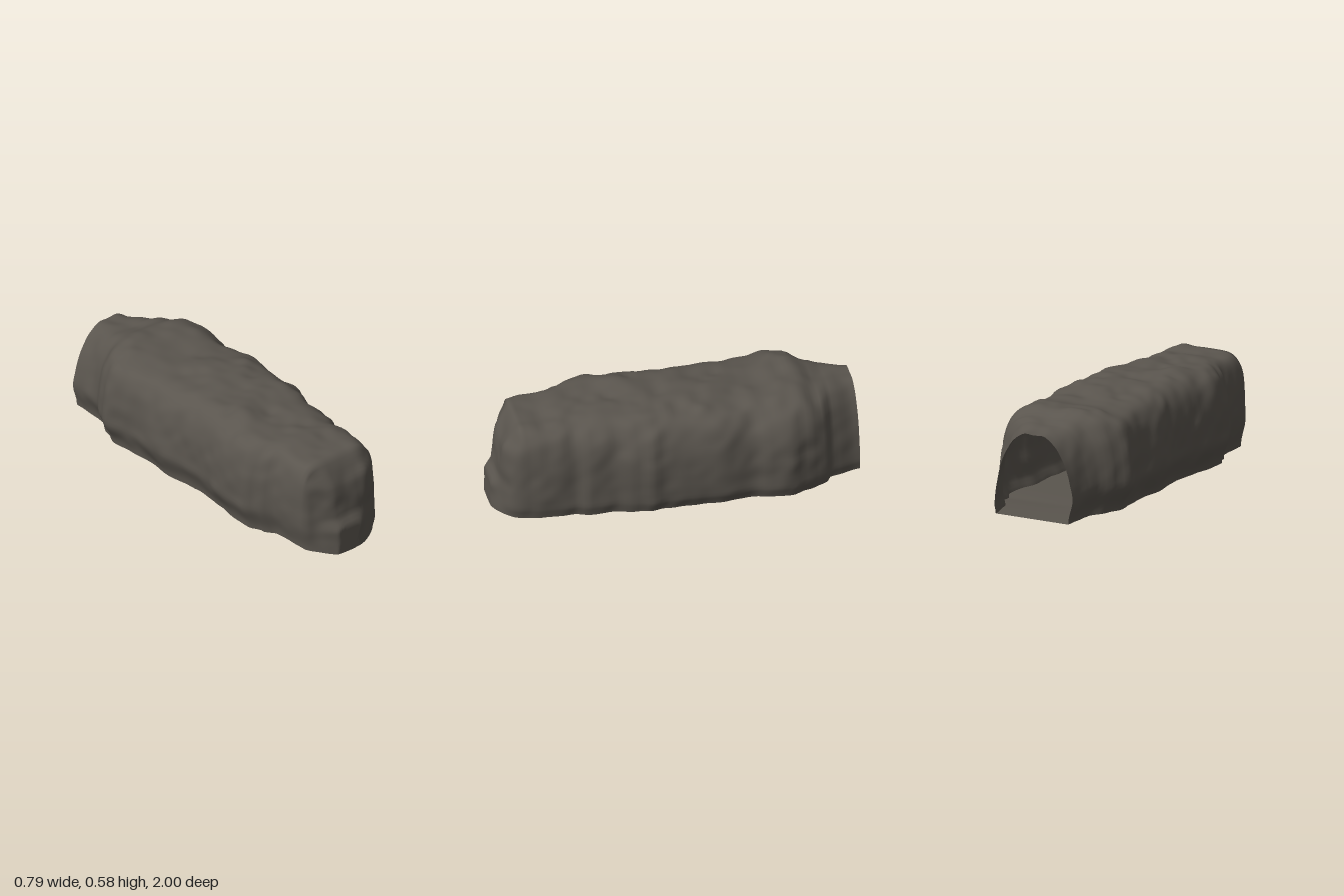
import * as THREE from 'three';

const rock = new THREE.MeshStandardMaterial({ color: 0x5a554e, side: THREE.DoubleSide });
rock.name = 'dark rock';

const step = THREE.MathUtils.smoothstep;

// Smooth interpolation through [position, value...] rows
const rows = (table, t, k) => {
  let i = 0;
  while (i < table.length - 2 && t > table[i + 1][0]) i++;
  const [a, b] = [table[i], table[i + 1]];
  return a[k] + (b[k] - a[k]) * step(t, a[0], b[0]);
};

// Smooth seeded value noise, -1 to 1
const hash = (x, y, z) => {
  const s = Math.sin(x * 127.1 + y * 311.7 + z * 74.7) * 43758.5453;
  return (s - Math.floor(s)) * 2 - 1;
};
function noise(x, y, z) {
  const c = [x, y, z].map(Math.floor);
  const [u, v, w] = [x - c[0], y - c[1], z - c[2]].map((t) => t * t * (3 - 2 * t));
  let sum = 0;
  for (let i = 0; i < 8; i++) {
    const [a, b, d] = [i & 1, (i >> 1) & 1, i >> 2];
    sum += hash(c[0] + a, c[1] + b, c[2] + d) * (a ? u : 1 - u) * (b ? v : 1 - v) * (d ? w : 1 - w);
  }
  return sum;
}
const lumps = (x, y, z) => 0.65 * noise(x * 7 + 3, y * 7, z * 7) + 0.35 * noise(x * 15, y * 15 + 5, z * 15);

// z, left edge, right edge, top height
const PROFILE = [
  [-1, -0.28, 0.22, 0.50], [-0.84, -0.28, 0.26, 0.51], [-0.79, -0.29, 0.32, 0.525],
  [-0.68, -0.35, 0.35, 0.56], [-0.59, -0.385, 0.385, 0.55], [-0.48, -0.36, 0.375, 0.54],
  [-0.39, -0.345, 0.35, 0.54], [-0.22, -0.355, 0.375, 0.555], [0, -0.33, 0.355, 0.567],
  [0.1, -0.32, 0.355, 0.562], [0.17, -0.325, 0.37, 0.568], [0.25, -0.335, 0.345, 0.575],
  [0.38, -0.35, 0.31, 0.565], [0.5, -0.345, 0.315, 0.55], [0.58, -0.30, 0.29, 0.543],
  [0.65, -0.26, 0.295, 0.55], [0.75, -0.25, 0.285, 0.542], [0.86, -0.235, 0.265, 0.535],
];
// height, z of the closed front wall
const FRONT = [[0, 0.965], [0.2, 0.96], [0.4, 0.952], [0.5, 0.925], [0.56, 0.89]];

const FLOOR = 0.022, CAP_Z = 0.86, BODY = 76, CAP = 26, AROUND = 80;

// A point of the rock skin: ring along the length, angle over the arch
function skin(ring, j) {
  const inCap = ring > BODY;
  const s = inCap ? 1 - (ring - BODY) / CAP : 1;
  const z0 = inCap ? CAP_Z : -1 + (ring / BODY) * (CAP_Z + 1);
  const [left, right, top] = [1, 2, 3].map((k) => rows(PROFILE, z0, k));
  const angle = (j / AROUND) * Math.PI;
  const cos = Math.cos(angle), sin = Math.abs(Math.sin(angle));
  // Rounded arch at the mouth, boxier towards the front
  const n = 2.1 + 2.3 * step(z0, -1, -0.6) + 1.1 * step(z0, 0.3, 0.86);
  const r = 1 / Math.pow(Math.abs(cos) ** n + sin ** n, 1 / n);
  const mid = (left + right) / 2;
  let x = (right - left) / 2 * r * cos;
  let y = (top - FLOOR) * r * sin;
  // Tucked-in foot, deeper on the -x side
  x *= x > 0 ? 0.95 + 0.05 * step(y, 0, 0.06) : 0.87 + 0.13 * step(y, 0, 0.16);
  x *= s; y *= s;
  let z = z0;
  if (inCap) {
    const toe = 0.04 * Math.exp(-(((x + 0.02) / 0.13) ** 4)) * (1 - step(y, 0.12, 0.2));
    const recede = 0.05 * step(-x, 0.08, 0.22) + 0.025 * step(x, 0.1, 0.22);
    z += (rows(FRONT, y + FLOOR, 1) + toe - recede - CAP_Z) * (1 - s ** 10);
  }
  const bump = lumps(x, y, z);
  const grow = 1 + 0.045 * bump;
  x = mid + x * grow;
  y = FLOOR + y * grow;
  if (inCap) z = Math.min(1, z + 0.018 * (1 - s ** 6) * bump);
  // Sagging base at the toe and near the back flank
  const sag = 0.02 * Math.exp(-(((z - 0.97) / 0.06) ** 2) - (x / 0.13) ** 2)
    + 0.02 * Math.exp(-(((z + 0.64) / 0.09) ** 2) - ((x - 0.23) / 0.12) ** 2);
  y -= sag * (1 - step(y, 0.02, 0.12));
  return [x, y, z];
}

// Mesh over a grid of points
function gridMesh(name, rings, cols, point) {
  const pos = [], index = [];
  for (let i = 0; i <= rings; i++) {
    for (let j = 0; j <= cols; j++) {
      pos.push(...point(i, j));
      if (i === rings || j === cols) continue;
      const a = i * (cols + 1) + j, b = a + cols + 1;
      index.push(a, a + 1, b, b, a + 1, b + 1);
    }
  }
  const g = new THREE.BufferGeometry();
  g.setAttribute('position', new THREE.Float32BufferAttribute(pos, 3));
  g.setIndex(index);
  g.computeVertexNormals();
  const mesh = new THREE.Mesh(g, rock);
  mesh.name = name;
  return mesh;
}

export function createModel() {
  const cave = new THREE.Group();
  cave.name = 'rockTunnel';
  // Hollow skin, open at the back and closed at the front
  cave.add(gridMesh('rockShell', BODY + CAP, AROUND, skin));
  // Flat floor spanning the lower edges of the skin
  cave.add(gridMesh('tunnelFloor', BODY + CAP, 8, (i, j) => {
    const a = skin(i, AROUND), b = skin(i, 0);
    return a.map((v, k) => v + (b[k] - v) * (j / 8));
  }));
  return cave;
}
